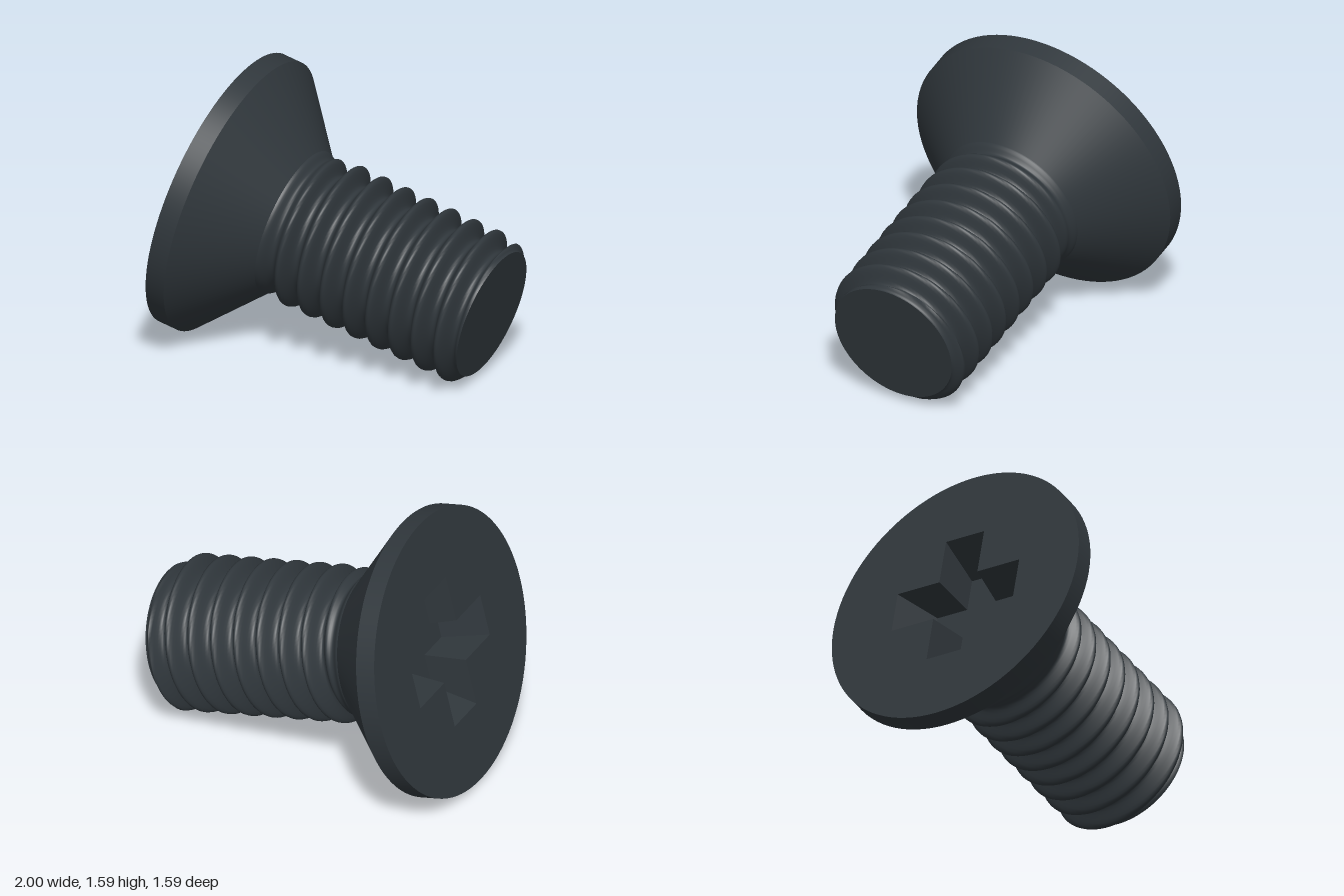
import * as THREE from 'three';
import { mergeVertices } from 'three/addons/utils/BufferGeometryUtils.js';

const SEG = 96;
const HEAD_R = 0.803, RIM = 0.115, NECK = 0.465, LENGTH = 1.715;
const CREST = 0.433, ROOT = 0.338, TIP_R = 0.37, PITCH = 0.1445;

const smooth = THREE.MathUtils.smoothstep;

// Shaft radius: right-hand thread that runs in at the neck and is chamfered at the tip
function shaftRadius(phi, y) {
  const turn = (y - 0.559) / PITCH - phi / (2 * Math.PI);
  const offCrest = 2 * Math.abs(turn - Math.round(turn)); // 0 at crest, 1 at root
  const thread = ROOT + (CREST - ROOT) * (1 - smooth(offCrest, 0.05, 0.9));
  const neck = THREE.MathUtils.lerp(CREST - 0.01, ROOT + 0.05, smooth(y, NECK, 0.53));
  const r = THREE.MathUtils.lerp(neck, thread, smooth(y, NECK + 0.01, 0.62));
  const chamfer = TIP_R + (LENGTH - y) * 1.05;
  return THREE.MathUtils.lerp(Math.min(r, chamfer), TIP_R, smooth(y, LENGTH - 0.04, LENGTH));
}

function shaftGeometry() {
  const points = [];
  const rings = 140;
  for (let i = 0; i <= rings; i++) {
    points.push(new THREE.Vector2(1, THREE.MathUtils.lerp(NECK, LENGTH, i / rings)));
  }
  let g = new THREE.LatheGeometry(points, SEG);
  const p = g.attributes.position;
  for (let i = 0; i < p.count; i++) {
    const phi = Math.atan2(p.getX(i), p.getZ(i));
    const r = shaftRadius(phi, p.getY(i));
    p.setXYZ(i, r * Math.sin(phi), p.getY(i), r * Math.cos(phi));
  }
  g.deleteAttribute('uv');
  g.deleteAttribute('normal');
  g = mergeVertices(g, 1e-5);
  g.computeVertexNormals();
  return g;
}

// Plus-shaped outline, anticlockwise; a = half length, w = half width
function crossOutline(a, w) {
  const out = [];
  for (let k = 0; k < 4; k++) {
    const c = Math.round(Math.cos(k * Math.PI / 2));
    const s = Math.round(Math.sin(k * Math.PI / 2));
    for (const [x, y] of [[a, -w], [a, w], [w, w]]) {
      out.push(new THREE.Vector2(x * c - y * s, x * s + y * c));
    }
  }
  return out;
}

// Tapered walls between the mouth of the recess and its floor
function recessWalls(mouth, floor, depth) {
  const v = [];
  const n = mouth.length;
  for (let i = 0; i < n; i++) {
    const j = (i + 1) % n;
    const a = [mouth[i].x, 0, mouth[i].y], b = [mouth[j].x, 0, mouth[j].y];
    const c = [floor[j].x, depth, floor[j].y], d = [floor[i].x, depth, floor[i].y];
    v.push(...a, ...b, ...c, ...a, ...c, ...d);
  }
  const g = new THREE.BufferGeometry();
  g.setAttribute('position', new THREE.Float32BufferAttribute(v, 3));
  g.computeVertexNormals();
  return g;
}

export function createModel() {
  const steel = new THREE.MeshStandardMaterial({ color: 0x30373c });
  steel.name = 'dark steel';
  const steelInside = steel.clone();
  steelInside.side = THREE.DoubleSide;

  const screw = new THREE.Group();
  screw.name = 'screw';
  const add = (name, geometry, material = steel) => {
    const mesh = new THREE.Mesh(geometry, material);
    mesh.name = name;
    screw.add(mesh);
    return mesh;
  };
  const lathe = (...pts) =>
    new THREE.LatheGeometry(pts.map(([r, y]) => new THREE.Vector2(r, y)), SEG);

  // Countersunk head
  add('headRim', lathe([HEAD_R, 0], [HEAD_R, RIM]));
  add('headCone', lathe([HEAD_R, RIM], [CREST - 0.01, NECK]));

  // Flat head face with the cross recess cut out
  const depth = 0.24;
  const mouth = crossOutline(0.4, 0.125);
  const floor = crossOutline(0.29, 0.095);
  const disc = new THREE.Shape().absarc(0, 0, HEAD_R, 0, Math.PI * 2);
  disc.holes.push(new THREE.Path(mouth));
  add('headFace', new THREE.ShapeGeometry(disc, SEG / 2).rotateX(Math.PI / 2));
  add('recessWalls', recessWalls(mouth, floor, depth), steelInside);
  add('recessFloor', new THREE.ShapeGeometry(new THREE.Shape(floor)).rotateX(Math.PI / 2))
    .position.y = depth;

  // Threaded shaft and its flat end
  add('threadedShaft', shaftGeometry());
  add('tipFace', new THREE.CircleGeometry(TIP_R, SEG).rotateX(-Math.PI / 2)).position.y = LENGTH;

  // Lay the screw down along its tilted axis
  const axis = new THREE.Vector3(0.947, -0.237, 0.218).normalize();
  const side = new THREE.Vector3(-axis.z, 0, axis.x).normalize();
  const up = new THREE.Vector3().crossVectors(side, axis);
  screw.quaternion.setFromRotationMatrix(new THREE.Matrix4().makeBasis(side, axis, up));
  screw.position.set(-0.744, 0.81, -0.015);

  const model = new THREE.Group();
  model.name = 'countersunkScrew';
  model.add(screw);
  return model;
}
